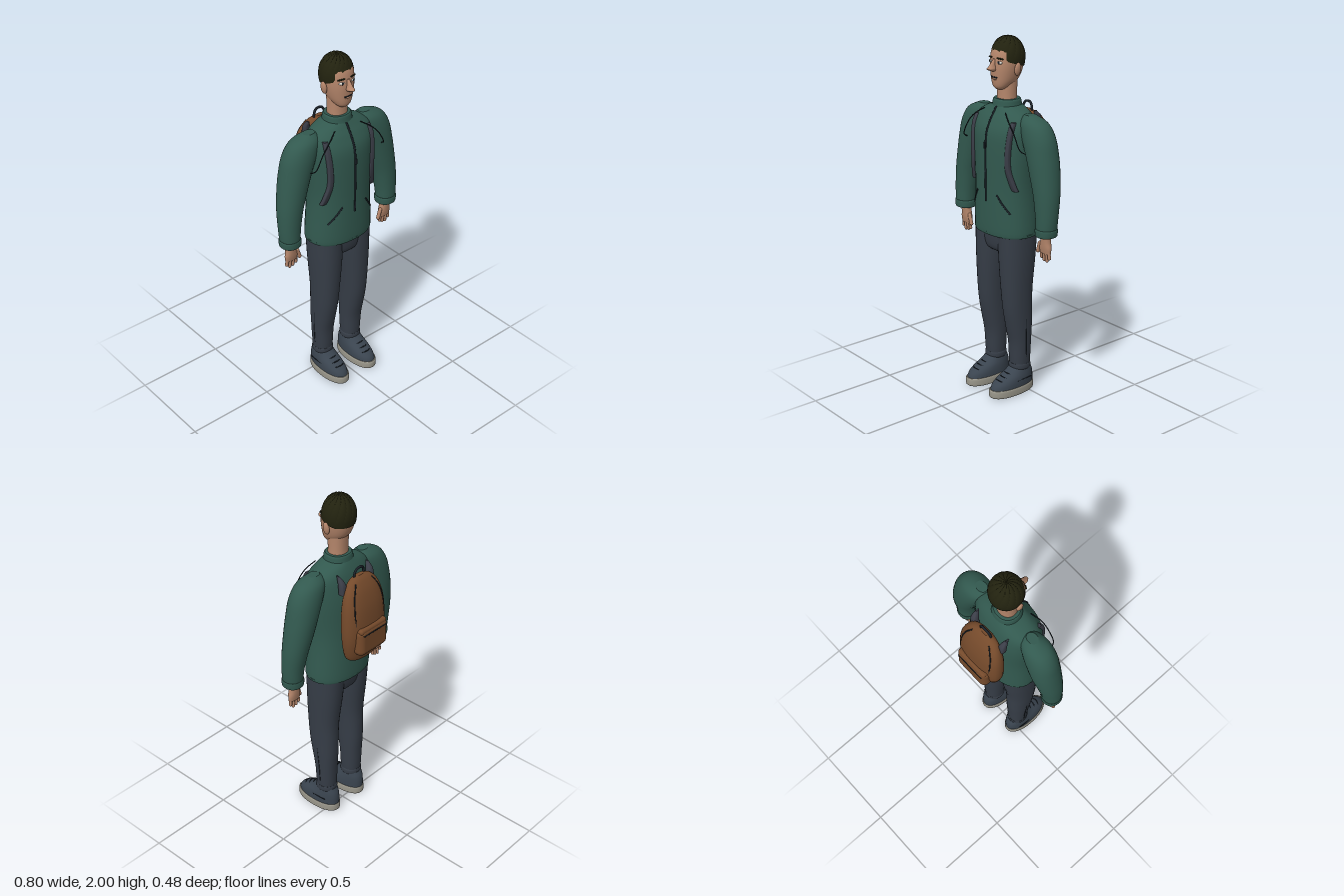
import * as THREE from 'three';
import { RoundedBoxGeometry } from 'three/addons/geometries/RoundedBoxGeometry.js';
import { ParametricGeometry } from 'three/addons/geometries/ParametricGeometry.js';

const flat = (name, color) => Object.assign(new THREE.MeshStandardMaterial({ color }), { name });
const M = {
  skin: flat('skin', 0xb5866b), hair: flat('hair', 0x22220f), jacket: flat('jacket green', 0x32594f),
  trousers: flat('trouser grey', 0x363d47), shoe: flat('shoe grey', 0x3a444f), sole: flat('sole grey', 0x99968a),
  pack: flat('pack brown', 0x754a2b), strap: flat('strap grey', 0x3b3e48), trim: flat('dark trim', 0x1b2229),
  white: flat('eye white', 0xd8d4cc),
};
M.hair.side = THREE.DoubleSide;

// Catmull-Rom blend of four cross-sections
const blend = (a, b, c, d, t) => b.map((_, k) => 0.5 * (2 * b[k] + (c[k] - a[k]) * t
  + (2 * a[k] - 5 * b[k] + 4 * c[k] - d[k]) * t * t + (3 * b[k] - a[k] - 3 * c[k] + d[k]) * t ** 3));

// Superellipse loft through sections [y, x0, x1, z0, z1], listed bottom to top; s = -1 mirrors it
function loft(secs, s = 1, power = 2.2, seg = 32, steps = 5) {
  const rings = [];
  const at = (i) => secs[Math.min(Math.max(i, 0), secs.length - 1)];
  for (let i = 0; i < secs.length - 1; i++)
    for (let k = 0; k < steps; k++) rings.push(blend(at(i - 1), at(i), at(i + 1), at(i + 2), k / steps));
  rings.push(at(secs.length - 1));
  const pos = [], idx = [];
  const addRing = ([y, x0, x1, z0, z1]) => {
    for (let j = 0; j < seg; j++) {
      const a = (j / seg) * Math.PI * 2, f = (v) => Math.sign(v) * Math.abs(v) ** (2 / power);
      pos.push(s * (x0 + x1) / 2 + f(Math.sin(a)) * (x1 - x0) / 2, y, (z0 + z1) / 2 + f(Math.cos(a)) * (z1 - z0) / 2);
    }
  };
  rings.forEach(addRing);
  for (let i = 0; i < rings.length - 1; i++)
    for (let j = 0; j < seg; j++) {
      const a = i * seg + j, b = i * seg + (j + 1) % seg;
      idx.push(a, b, b + seg, a, b + seg, a + seg);
    }
  for (const top of [false, true]) {
    const r = top ? rings[rings.length - 1] : rings[0], base = pos.length / 3;
    addRing(r);
    pos.push(s * (r[1] + r[2]) / 2, r[0], (r[3] + r[4]) / 2);
    for (let j = 0; j < seg; j++) {
      const a = base + j, b = base + (j + 1) % seg;
      idx.push(...(top ? [a, b, base + seg] : [b, a, base + seg]));
    }
  }
  const g = new THREE.BufferGeometry();
  g.setAttribute('position', new THREE.Float32BufferAttribute(pos, 3));
  g.setIndex(idx);
  g.computeVertexNormals();
  return g;
}

// Point on the front (+1) or back (-1) of a symmetric loft
function onSkin(secs, x, y, face = 1, power = 2.2) {
  let i = 0;
  while (i < secs.length - 2 && secs[i + 1][0] < y) i++;
  const a = secs[i], b = secs[i + 1], t = (y - a[0]) / (b[0] - a[0]);
  const [, , rx, z0, z1] = a.map((v, k) => v + (b[k] - v) * t);
  const w = Math.max(0, 1 - Math.abs(x / rx) ** power) ** (1 / power);
  return [x, y, (z0 + z1) / 2 + face * w * (z1 - z0) / 2];
}
const wire = (pts, r = 0.004) => new THREE.TubeGeometry(
  new THREE.CatmullRomCurve3(pts.map((p) => new THREE.Vector3(...p))), 24, r, 6);

const TORSO = [[0.93, -0.192, 0.192, -0.095, 0.168], [0.96, -0.2, 0.2, -0.104, 0.178], [1.2, -0.186, 0.186, -0.1, 0.178],
  [1.4, -0.2, 0.2, -0.1, 0.178], [1.5, -0.205, 0.205, -0.09, 0.17], [1.565, -0.195, 0.195, -0.075, 0.143],
  [1.605, -0.15, 0.15, -0.06, 0.118], [1.635, -0.08, 0.08, -0.045, 0.1]];
const ARM = [[0.99, 0.288, 0.394, -0.005, 0.098], [1.03, 0.286, 0.399, -0.01, 0.102], [1.1, 0.278, 0.402, -0.018, 0.103],
  [1.2, 0.258, 0.4, -0.035, 0.105], [1.3, 0.226, 0.389, -0.05, 0.107], [1.4, 0.192, 0.373, -0.058, 0.108],
  [1.5, 0.15, 0.35, -0.055, 0.105], [1.57, 0.13, 0.305, -0.038, 0.09], [1.608, 0.155, 0.225, 0.0, 0.055]];
const LEG = [[0.14, 0.052, 0.157, -0.028, 0.082], [0.2, 0.048, 0.161, -0.032, 0.086], [0.3, 0.044, 0.166, -0.036, 0.092],
  [0.4, 0.04, 0.17, -0.042, 0.112], [0.5, 0.036, 0.173, -0.043, 0.13], [0.62, 0.028, 0.177, -0.045, 0.14],
  [0.8, 0.012, 0.184, -0.065, 0.148], [0.95, 0.006, 0.186, -0.078, 0.15]];
const PACK = [[1.095, -0.075, 0.075, -0.165, -0.1], [1.12, -0.115, 0.115, -0.19, -0.085], [1.25, -0.146, 0.146, -0.214, -0.082],
  [1.4, -0.145, 0.145, -0.208, -0.08], [1.5, -0.124, 0.124, -0.185, -0.085], [1.56, -0.085, 0.085, -0.155, -0.09],
  [1.585, -0.03, 0.03, -0.13, -0.105]];
const HEAD = [[1.722, -0.028, 0.028, 0.045, 0.1], [1.74, -0.046, 0.046, 0.015, 0.112], [1.78, -0.067, 0.067, -0.035, 0.118],
  [1.85, -0.082, 0.082, -0.06, 0.12], [1.92, -0.082, 0.082, -0.06, 0.109], [1.96, -0.062, 0.062, -0.04, 0.082],
  [1.985, -0.03, 0.03, -0.01, 0.05]];

// Swirled hair cap whose lower edge follows a hairline
function hairGeometry() {
  return new ParametricGeometry((u, v, p) => {
    const a = (u * 2 - 1) * Math.PI, d = Math.abs(a), w = 1 - v;
    const line = d < 0.9 ? 1.932 - 0.06 * (d / 0.9) ** 2 : 1.872 - 0.032 * Math.min(1, (d - 0.9) / 1.2);
    const polar = w * Math.acos((line - 1.88) / 0.12);
    const groove = Math.abs(Math.sin(7 * a + 4.5 * w)) ** 0.5;
    const r = 0.975 + 0.035 * groove * Math.sin(Math.PI * Math.min(1, w * 1.1 + 0.02));
    p.set(0.094 * r * Math.sin(polar) * Math.sin(a), 1.88 + 0.12 * r * Math.cos(polar),
      0.023 + 0.094 * r * Math.sin(polar) * Math.cos(a));
  }, 112, 24);
}

export function createModel() {
  const root = new THREE.Group();
  const group = (name) => { const g = new THREE.Group(); g.name = name; root.add(g); return g; };
  const add = (parent, name, geo, mat, p = [0, 0, 0], sc = [1, 1, 1], rot = [0, 0, 0]) => {
    const m = new THREE.Mesh(geo, mat);
    m.name = name;
    m.position.set(...p); m.scale.set(...sc); m.rotation.set(...rot);
    parent.add(m);
    return m;
  };
  const ball = new THREE.SphereGeometry(1, 20, 14);

  // Head and face
  const head = group('head');
  add(head, 'skull', loft(HEAD), M.skin);
  add(head, 'neck', loft([[1.6, -0.058, 0.058, -0.024, 0.084], [1.68, -0.054, 0.054, -0.02, 0.08], [1.78, -0.056, 0.056, -0.025, 0.08]]), M.skin);
  add(head, 'hair', hairGeometry(), M.hair);
  add(head, 'nose', loft([[1.822, -0.013, 0.013, 0.1, 0.138], [1.834, -0.018, 0.018, 0.1, 0.164],
    [1.85, -0.013, 0.013, 0.1, 0.15], [1.885, -0.008, 0.008, 0.1, 0.121]], 1, 2, 16), M.skin);
  add(head, 'mouth', new RoundedBoxGeometry(0.048, 0.007, 0.008, 2, 0.003), M.trim, [0, 1.788, 0.116]);
  add(head, 'lowerLip', ball, M.skin, [0, 1.779, 0.114], [0.02, 0.006, 0.008]);
  for (const s of [1, -1]) {
    add(head, 'ear', ball, M.skin, [s * 0.089, 1.832, 0.03], [0.013, 0.036, 0.02], [0, 0, -s * 0.15]);
    add(head, 'eye', ball, M.white, [s * 0.036, 1.868, 0.108], [0.017, 0.008, 0.009], [0, s * 0.25, 0]);
    add(head, 'iris', ball, M.trim, [s * 0.036, 1.868, 0.115], [0.007, 0.007, 0.004], [0, s * 0.25, 0]);
    add(head, 'eyebrow', new RoundedBoxGeometry(0.042, 0.008, 0.008, 2, 0.003), M.hair, [s * 0.038, 1.889, 0.108], [1, 1, 1], [0, s * 0.3, -s * 0.08]);
  }

  // Jacket
  const jacket = group('jacket');
  add(jacket, 'torso', loft(TORSO), M.jacket);
  add(jacket, 'collar', loft([[1.61, -0.088, 0.088, -0.05, 0.108], [1.635, -0.08, 0.08, -0.046, 0.103],
    [1.66, -0.076, 0.076, -0.042, 0.099], [1.668, -0.07, 0.07, -0.037, 0.094]]), M.jacket);
  const front = (x, y) => onSkin(TORSO, x, y);
  add(jacket, 'zip', wire([1.12, 1.25, 1.38, 1.5, 1.57, 1.6, 1.63].map((y) => front(0, y)), 0.006), M.trim);
  add(jacket, 'zipPull', new RoundedBoxGeometry(0.012, 0.035, 0.01, 2, 0.004), M.trim, [0, 1.43, 0.184]);
  add(jacket, 'hemSeam', wire(Array.from({ length: 25 }, (_, i) => {
    const a = i / 24 * Math.PI * 2;
    return [0.2 * Math.sin(a), 0.945, 0.037 + 0.138 * Math.cos(a)];
  }), 0.003), M.jacket);
  for (const s of [1, -1]) {
    add(jacket, 'sleeve', loft(ARM, s, 2.1), M.jacket);
    add(jacket, 'cuff', loft([[0.983, 0.286, 0.396, -0.008, 0.101], [0.99, 0.283, 0.4, -0.011, 0.104],
      [1.018, 0.282, 0.402, -0.012, 0.105], [1.025, 0.286, 0.399, -0.01, 0.102]], s), M.jacket);
    add(jacket, 'pocketSeam', wire([[0.078, 1.17], [0.11, 1.125], [0.15, 1.07]].map(([x, y]) => front(s * x, y)), 0.005), M.trim);
    add(jacket, 'shoulderSeam', wire([[s * 0.085, 1.61, 0.112], [s * 0.14, 1.572, 0.135], [s * 0.19, 1.52, 0.142],
      [s * 0.235, 1.44, 0.138], [s * 0.245, 1.42, 0.11]], 0.003), M.trim);
  }

  // Hands
  for (const s of [1, -1]) {
    const hand = group(s > 0 ? 'leftHand' : 'rightHand');
    add(hand, 'palm', loft([[0.885, 0.298, 0.373, 0.03, 0.06], [0.915, 0.295, 0.376, 0.025, 0.066],
      [0.95, 0.305, 0.37, 0.022, 0.07], [1.0, 0.312, 0.368, 0.02, 0.075]], s, 2.2, 20), M.skin);
    [0.032, 0.05, 0.046, 0.035].forEach((len, i) =>
      add(hand, 'finger', new THREE.CapsuleGeometry(0.0095, len, 4, 10), M.skin,
        [s * (0.365 - i * 0.0195), 0.893 - len / 2, 0.046], [1, 1, 1], [0.08, 0, s * (0.08 - i * 0.05)]));
    add(hand, 'thumb', new THREE.CapsuleGeometry(0.011, 0.05, 4, 10), M.skin, [s * 0.293, 0.912, 0.054], [1, 1, 1], [0, 0, -s * 0.3]);
  }

  // Trousers
  const trousers = group('trousers');
  add(trousers, 'hips', loft([[0.815, -0.07, 0.07, -0.03, 0.1], [0.85, -0.14, 0.14, -0.06, 0.14], [0.96, -0.187, 0.187, -0.08, 0.152]]), M.trousers);
  for (const s of [1, -1]) {
    add(trousers, 'leg', loft(LEG, s), M.trousers);
    add(trousers, 'legHem', loft([[0.137, 0.05, 0.159, -0.03, 0.084], [0.145, 0.047, 0.162, -0.033, 0.087],
      [0.162, 0.047, 0.162, -0.033, 0.087], [0.17, 0.05, 0.16, -0.031, 0.085]], s), M.trousers);
    add(trousers, 'sideSeam', wire([[s * 0.161, 0.21, 0.027], [s * 0.166, 0.3, 0.028], [s * 0.17, 0.45, 0.038]], 0.0025), M.trim);
  }

  // Shoes
  const shoes = group('shoes');
  for (const s of [1, -1]) {
    add(shoes, 'sole', loft([[0, 0.038, 0.17, -0.056, 0.23], [0.008, 0.034, 0.174, -0.06, 0.236],
      [0.038, 0.034, 0.174, -0.06, 0.236], [0.046, 0.038, 0.17, -0.057, 0.231]], s), M.sole);
    add(shoes, 'upper', loft([[0.044, 0.039, 0.169, -0.056, 0.228], [0.07, 0.04, 0.168, -0.056, 0.214],
      [0.095, 0.043, 0.165, -0.054, 0.178], [0.12, 0.048, 0.16, -0.048, 0.125], [0.148, 0.054, 0.155, -0.035, 0.085]], s), M.shoe);
    for (let i = 0; i < 3; i++) {
      const y = 0.121 - i * 0.014, z = 0.122 + i * 0.03;
      add(shoes, 'lace', wire([[s * 0.075, y - 0.004, z - 0.008], [s * 0.104, y + 0.003, z + 0.002], [s * 0.133, y - 0.004, z - 0.008]], 0.003), M.trim);
    }
    add(shoes, 'sideStitch', wire([[s * 0.163, 0.085, -0.01], [s * 0.1665, 0.084, 0.04], [s * 0.164, 0.083, 0.09]], 0.0025), M.trim);
  }

  // Backpack
  const pack = group('backpack');
  add(pack, 'packBody', loft(PACK, 1, 2.4), M.pack);
  add(pack, 'packPocket', new RoundedBoxGeometry(0.22, 0.165, 0.075, 5, 0.034), M.pack, [0, 1.237, -0.197]);
  add(pack, 'pocketFlap', new RoundedBoxGeometry(0.205, 0.035, 0.06, 4, 0.016), M.pack, [0, 1.305, -0.2]);
  add(pack, 'pocketZip', wire([[-0.09, 1.285, -0.233], [0, 1.287, -0.235], [0.09, 1.285, -0.233]], 0.0035), M.trim);
  add(pack, 'carryHandle', wire([[-0.036, 1.565, -0.115], [-0.034, 1.6, -0.116], [-0.018, 1.622, -0.119],
    [0.018, 1.622, -0.119], [0.034, 1.6, -0.116], [0.036, 1.565, -0.115]], 0.007), M.trim);
  for (const s of [1, -1]) {
    add(pack, 'packZip', wire([[0.108, 1.34], [0.108, 1.42], [0.094, 1.5], [0.06, 1.56]]
      .map(([x, y]) => onSkin(PACK, s * x, y, -1, 2.4)), 0.004), M.trim);
    const strap = [[1.2, 0.145, 0.185], [1.24, 0.138, 0.175], [1.32, 0.126, 0.157], [1.42, 0.128, 0.158],
      [1.52, 0.134, 0.164], [1.57, 0.136, 0.16]].map(([y, x0, x1]) => {
      const z = front((x0 + x1) / 2, y)[2];
      return [y, x0, x1, z - 0.012, z + 0.014];
    });
    add(pack, 'shoulderStrap', loft(strap, s, 4, 20), M.strap);
    add(pack, 'strapAnchor', loft([[1.5, 0.08, 0.125, -0.12, -0.08], [1.56, 0.09, 0.125, -0.112, -0.075], [1.6, 0.108, 0.116, -0.082, -0.062]], s, 3, 16), M.strap);
  }
  return root;
}
